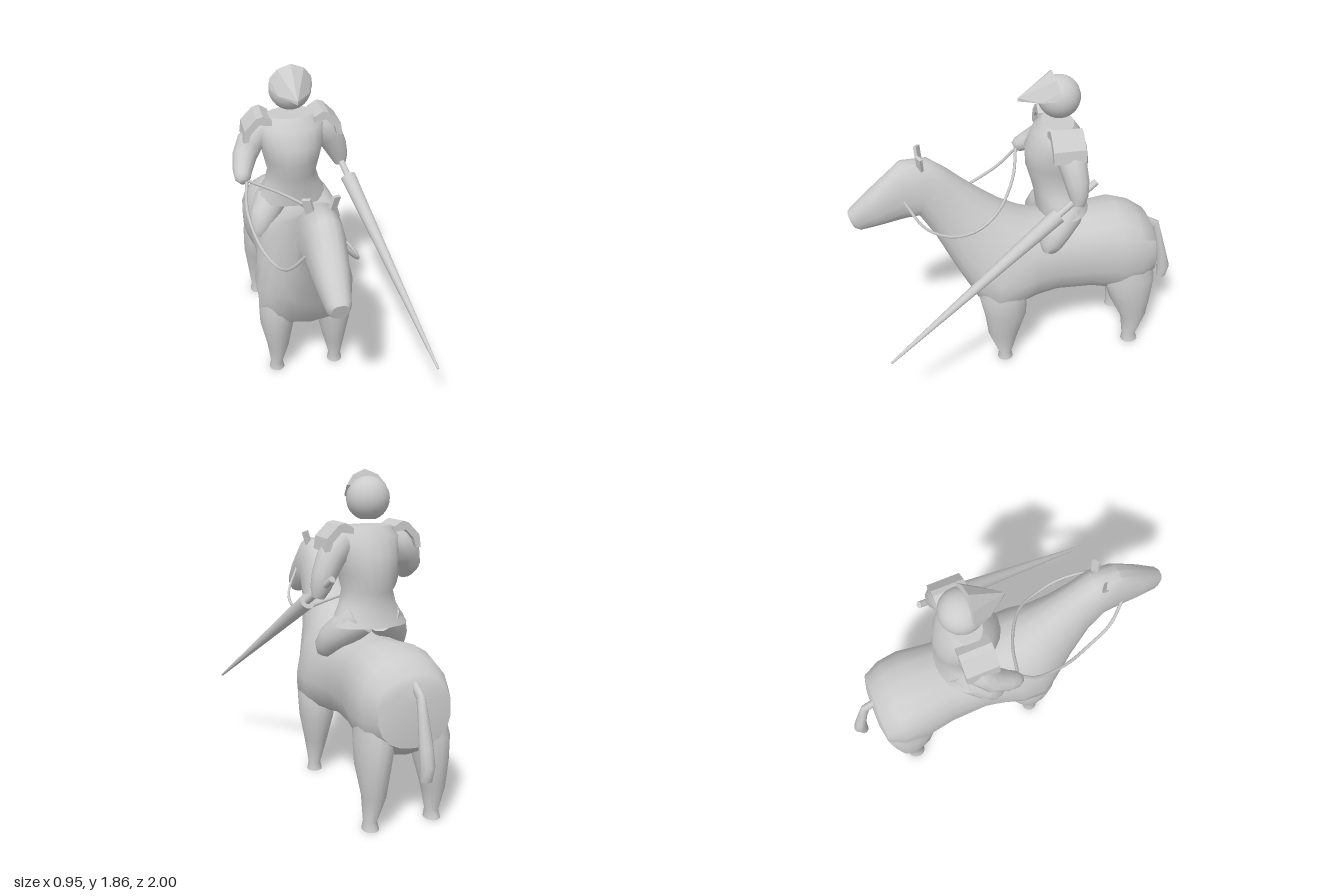
import * as THREE from 'three';
import { toCreasedNormals } from 'three/addons/utils/BufferGeometryUtils.js';
import { ConvexGeometry } from 'three/addons/geometries/ConvexGeometry.js';

const CX = -0.12; // mid-plane shared by horse and rider
const V = (x, y, z) => new THREE.Vector3(x, y, z);
const material = new THREE.MeshStandardMaterial({ color: 0xcccccc, side: THREE.DoubleSide });

// Skin a list of closed rings, capping both ends
function loft(rings, crease = 0.8) {
  const n = rings[0].length, last = rings.length - 1;
  const pts = rings.flat();
  const mid = r => r.reduce((s, p) => s.add(p), V(0, 0, 0)).divideScalar(n);
  const a = pts.length, b = a + 1;
  pts.push(mid(rings[0]), mid(rings[last]));
  let idx = [];
  for (let i = 0; i < last; i++) {
    for (let j = 0; j < n; j++) {
      const k = (j + 1) % n, p = i * n, q = p + n;
      idx.push(p + j, p + k, q + k, p + j, q + k, q + j);
    }
  }
  for (let j = 0; j < n; j++) {
    const k = (j + 1) % n;
    idx.push(a, k, j, b, last * n + j, last * n + k);
  }
  // turn the faces outward
  let volume = 0;
  for (let i = 0; i < idx.length; i += 3) {
    volume += pts[idx[i]].dot(pts[idx[i + 1]].clone().cross(pts[idx[i + 2]]));
  }
  if (volume < 0) idx.reverse();
  const g = new THREE.BufferGeometry().setFromPoints(pts);
  g.setIndex(idx);
  return toCreasedNormals(g, crease);
}

const power = (v, e) => Math.sign(v) * Math.abs(v) ** e;

// Ring between a top and a bottom point of the side profile; bias widens its lower half
function profileRing([zt, yt, zb, yb, w, bias = 0], n = 18, e = 0.85) {
  return Array.from({ length: n }, (_, i) => {
    const a = (i / n) * Math.PI * 2;
    const c = power(Math.cos(a), e), s = power(Math.sin(a), e);
    return V(CX + w * s * (1 - bias * c), (yt + yb) / 2 + c * (yt - yb) / 2, (zt + zb) / 2 + c * (zt - zb) / 2);
  });
}

// Level elliptical ring
const levelRing = (x, y, z, rx, rz, n = 16) => Array.from({ length: n }, (_, i) => {
  const a = (i / n) * Math.PI * 2;
  return V(x + rx * Math.cos(a), y, z + rz * Math.sin(a));
});

// Round limb through nodes [x, y, z, radius]
function limb(nodes, n = 12) {
  const p = nodes.map(q => V(q[0], q[1], q[2]));
  return loft(nodes.map((q, i) => {
    const dir = p[Math.min(i + 1, p.length - 1)].clone().sub(p[Math.max(i - 1, 0)]).normalize();
    const turn = new THREE.Quaternion().setFromUnitVectors(V(0, -1, 0), dir);
    return levelRing(0, 0, 0, q[3], q[3], n).map(v => v.applyQuaternion(turn).add(p[i]));
  }), 1.1);
}

export function createModel() {
  const model = new THREE.Group();
  const add = (name, geometry, parent = model) => {
    const m = new THREE.Mesh(geometry, material);
    m.name = name;
    parent.add(m);
    return m;
  };
  const horse = new THREE.Group(), rider = new THREE.Group();
  horse.name = 'horse';
  rider.name = 'rider';
  model.add(horse, rider);

  // Horse trunk, neck and head, from rump to nose
  add('horseBody', loft([
    [-0.82, 0.82, -0.84, 0.60, 0.12], [-0.80, 0.86, -0.83, 0.48, 0.21],
    [-0.70, 0.93, -0.74, 0.41, 0.255], [-0.58, 0.97, -0.60, 0.38, 0.265],
    [-0.40, 0.95, -0.42, 0.42, 0.24], [-0.20, 0.94, -0.20, 0.43, 0.235],
    [-0.08, 0.96, -0.06, 0.42, 0.255, 0.1], [0.00, 0.99, 0.06, 0.39, 0.275, 0.2],
    [0.12, 1.06, 0.20, 0.37, 0.27, 0.3], [0.22, 1.14, 0.29, 0.44, 0.22, 0.3],
    [0.33, 1.23, 0.40, 0.65, 0.165, 0.25], [0.42, 1.31, 0.52, 0.91, 0.125, 0.15],
    [0.53, 1.39, 0.60, 1.05, 0.115, 0.1], [0.68, 1.39, 0.68, 1.04, 0.105, 0.1],
    [0.85, 1.24, 0.83, 1.005, 0.085], [0.985, 1.12, 0.93, 0.985, 0.06],
    [1.0, 1.10, 0.965, 1.0, 0.045],
  ].map(r => profileRing(r))), horse);

  // Tail
  add('tail', loft([
    [-0.78, 0.85, -0.80, 0.79, 0.02], [-0.89, 0.79, -0.85, 0.74, 0.022],
    [-0.93, 0.66, -0.88, 0.65, 0.03], [-0.97, 0.53, -0.905, 0.53, 0.038],
    [-1.0, 0.43, -0.915, 0.43, 0.04], [-0.98, 0.35, -0.92, 0.35, 0.032],
  ].map(r => profileRing(r, 10, 1))), horse);

  // Horse legs: [y, sideways offset, z, x radius, z radius]
  const frontLeg = [[0, 0.185, 0.14, 0.046, 0.047], [0.045, 0.185, 0.14, 0.036, 0.04],
    [0.2, 0.175, 0.145, 0.066, 0.095], [0.36, 0.175, 0.13, 0.1, 0.13],
    [0.5, 0.165, 0.14, 0.115, 0.15], [0.66, 0.14, 0.15, 0.1, 0.12]];
  const hindLeg = [[0, 0.185, -0.695, 0.046, 0.055], [0.045, 0.185, -0.69, 0.036, 0.045],
    [0.2, 0.175, -0.71, 0.064, 0.083], [0.36, 0.17, -0.68, 0.09, 0.133],
    [0.5, 0.16, -0.665, 0.1, 0.165], [0.66, 0.13, -0.65, 0.1, 0.15]];
  for (const s of [-1, 1]) {
    const side = s > 0 ? 'Left' : 'Right';
    for (const [name, rows] of [['frontLeg', frontLeg], ['hindLeg', hindLeg]]) {
      add(name + side, loft(rows.map(([y, o, z, rx, rz]) => levelRing(CX + s * o, y, z, rx, rz))), horse);
    }
    // Ears
    const ear = add('ear' + side, new THREE.BoxGeometry(0.045, 0.085, 0.018), horse);
    ear.position.set(CX + s * 0.065, 1.4, 0.575);
    ear.rotation.set(0.2, s * 0.5, -s * 0.3);

    // Rider's thighs
    add('thigh' + side, limb([
      [CX + s * 0.07, 1.05, -0.28, 0.1], [CX + s * 0.13, 0.99, -0.24, 0.1],
      [CX + s * 0.19, 0.92, -0.17, 0.085], [CX + s * 0.215, 0.86, -0.135, 0.068],
      [CX + s * 0.225, 0.82, -0.13, 0.04],
    ]), rider);

    // Curved shoulder plates
    const plate = new THREE.Shape([
      [0.12, 1.55], [0.17, 1.58], [0.205, 1.57], [0.275, 1.5], [0.285, 1.43],
      [0.255, 1.43], [0.24, 1.48], [0.19, 1.53], [0.12, 1.52],
    ].map(([x, y]) => new THREE.Vector2(s * x, y)));
    const pad = add('shoulderPlate' + side, new THREE.ExtrudeGeometry(plate, { depth: 0.18, bevelEnabled: false }), rider);
    pad.position.set(CX, 0, -0.31);
  }

  // Tunic with flared skirt
  add('tunic', loft([
    [1.01, -0.25, 0.225, 0.155], [1.12, -0.225, 0.165, 0.145], [1.2, -0.22, 0.142, 0.16],
    [1.3, -0.215, 0.165, 0.185], [1.4, -0.205, 0.185, 0.18], [1.5, -0.21, 0.19, 0.135],
    [1.555, -0.215, 0.14, 0.09],
  ].map(([y, z, rx, rz]) => levelRing(CX, y, z, rx, rz, 20))), rider);

  // Arms: one lowered to the lance, one bent forward with the reins
  add('lanceArm', limb([
    [-0.02, 1.5, -0.22, 0.05], [0.05, 1.46, -0.23, 0.085], [0.11, 1.39, -0.25, 0.08],
    [0.155, 1.3, -0.265, 0.07], [0.18, 1.23, -0.27, 0.055], [0.19, 1.18, -0.265, 0.035],
  ]), rider);
  add('reinArm', limb([
    [-0.22, 1.5, -0.22, 0.05], [-0.29, 1.46, -0.23, 0.085], [-0.36, 1.39, -0.22, 0.08],
    [-0.4, 1.33, -0.17, 0.07], [-0.425, 1.28, -0.09, 0.055], [-0.43, 1.26, -0.045, 0.045],
    [-0.43, 1.25, -0.02, 0.025],
  ]), rider);

  // Head, cut flat at the chin line
  const head = add('head', new THREE.SphereGeometry(0.12, 20, 14, 0, Math.PI * 2, 0, 2.73), rider);
  head.position.set(CX, 1.7, -0.22);
  const base = add('headBase', new THREE.CircleGeometry(0.048, 20), rider);
  base.rotation.x = Math.PI / 2;
  base.position.set(CX, 1.59, -0.22);

  // Pointed visor with a centre ridge
  const visor = [V(0, 1.855, -0.175), V(0, 1.71, 0.012), V(0, 1.69, 0.012), V(0, 1.78, -0.2)];
  for (const s of [-1, 1]) {
    visor.push(V(s * 0.075, 1.825, -0.185), V(s * 0.118, 1.77, -0.2), V(s * 0.118, 1.72, -0.17), V(s * 0.085, 1.705, -0.1));
  }
  add('visor', new ConvexGeometry(visor), rider).position.x = CX;

  // Lance: handle and tapering shaft along one axis
  const butt = V(0.153, 1.295, -0.375), guard = V(0.21, 1.14, -0.15), tip = V(0.467, 0.455, 0.85);
  const rod = (name, from, to, r0, r1) => {
    const d = to.clone().sub(from);
    const m = add(name, new THREE.CylinderGeometry(r1, r0, d.length(), 12), rider);
    m.position.copy(from).addScaledVector(d, 0.5);
    m.quaternion.setFromUnitVectors(V(0, 1, 0), d.normalize());
  };
  rod('lanceHandle', butt, guard, 0.019, 0.019);
  rod('lanceShaft', guard, tip, 0.046, 0.007);

  // Reins from the hand to both sides of the muzzle
  const reins = [
    [[-0.41, 1.25, -0.03], [-0.2, 1.16, 0.03], [0, 1.06, 0.16], [0.07, 1.0, 0.29],
      [0.1, 1.0, 0.44], [0.07, 1.06, 0.58], [-0.02, 1.19, 0.68]],
    [[-0.41, 1.25, -0.03], [-0.43, 1.13, 0.08], [-0.4, 1.03, 0.28], [-0.34, 0.99, 0.45],
      [-0.29, 1.06, 0.6], [-0.22, 1.19, 0.69]],
  ];
  reins.forEach((points, i) => {
    const path = new THREE.CatmullRomCurve3(points.map(p => V(...p)), false, 'centripetal');
    add(i ? 'reinRight' : 'reinLeft', new THREE.TubeGeometry(path, 24, 0.009, 6), horse);
  });
  return model;
}
